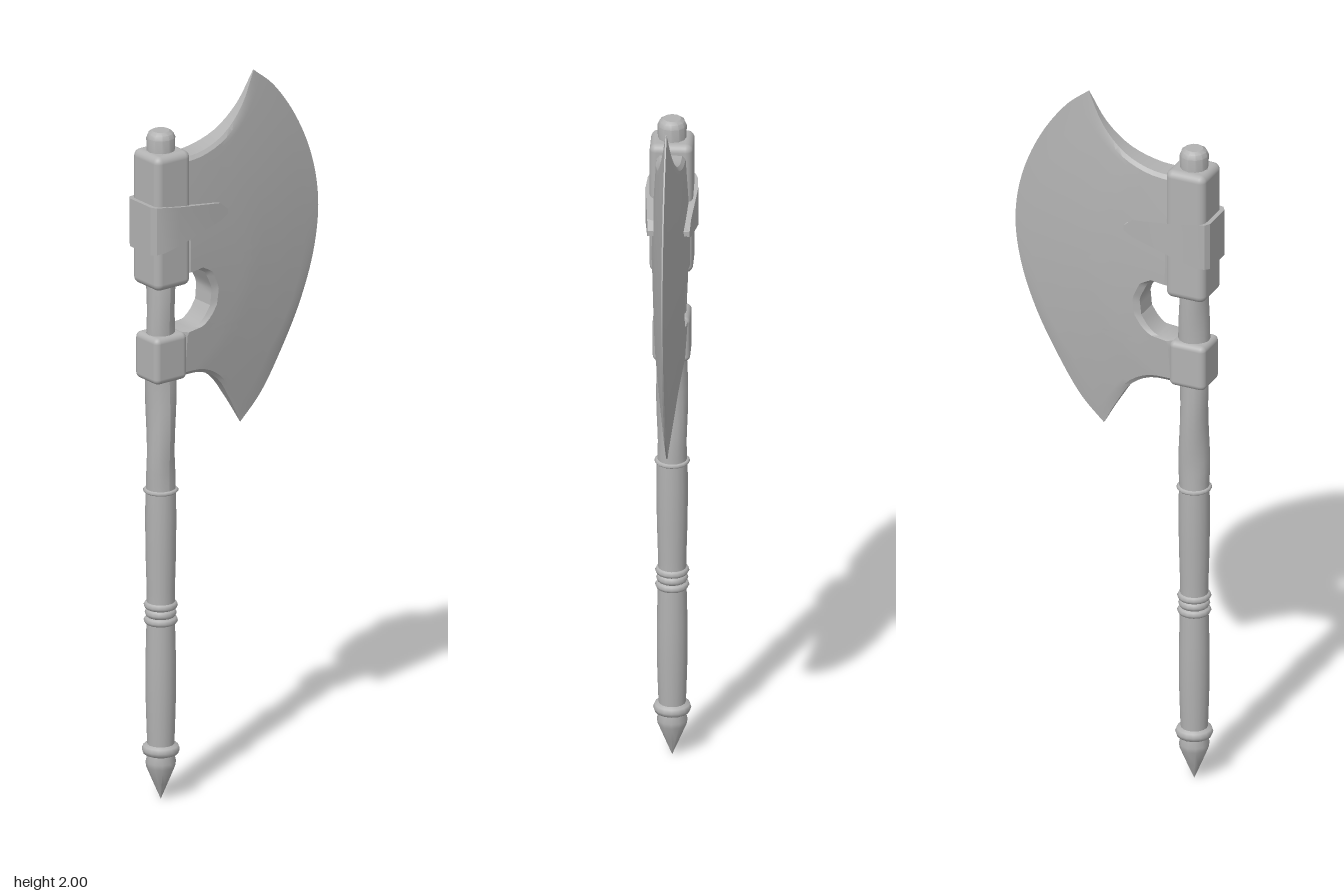
import * as THREE from 'three';
import { toCreasedNormals } from 'three/addons/utils/BufferGeometryUtils.js';
import { RoundedBoxGeometry } from 'three/addons/geometries/RoundedBoxGeometry.js';

const AXIS = -0.23; // x of the shaft
const steel = new THREE.MeshStandardMaterial({ color: 0xb2b2b2 });
steel.name = 'grey steel';

const { lerp, smoothstep } = THREE.MathUtils;

function part(name, geometry, x = 0, y = 0) {
  const mesh = new THREE.Mesh(geometry, steel);
  mesh.name = name;
  mesh.position.set(x, y, 0);
  return mesh;
}

// Linear lookup in a list of [key, value] pairs
function lookup(table, k) {
  for (let i = 1; i < table.length; i++) {
    const [k0, v0] = table[i - 1], [k1, v1] = table[i];
    if (k <= k1) return lerp(v0, v1, Math.max(0, (k - k0) / (k1 - k0)));
  }
  return table[table.length - 1][1];
}

function curve(points, straight = false) {
  const c = new THREE.CatmullRomCurve3(points.map(([x, y]) => new THREE.Vector3(x, y, 0)),
    false, straight ? 'catmullrom' : 'centripetal', 0);
  c.arcLengthDivisions = 600;
  return c;
}

// Blade: a patch between four boundary curves, thinning towards the cutting edge
function bladeGeometry() {
  const top = curve([[-0.19, 1.815], [-0.115, 1.82], [-0.035, 1.85], [0.03, 1.91], [0.08, 2]]);
  const bottom = curve([[-0.19, 1.2], [-0.115, 1.195], [-0.055, 1.16], [-0.01, 1.095], [0.035, 1.015]]);
  const edge = curve([[0.08, 2], [0.145, 1.945], [0.22, 1.84], [0.275, 1.71], [0.295, 1.58],
    [0.28, 1.45], [0.235, 1.315], [0.165, 1.18], [0.1, 1.08], [0.035, 1.015]]);
  const inner = curve([[-0.19, 1.815], [-0.19, 1.49], [-0.15, 1.5], [-0.11, 1.48], [-0.085, 1.43],
    [-0.09, 1.38], [-0.11, 1.35], [-0.135, 1.33], [-0.19, 1.325], [-0.19, 1.2]], true);
  const thickness = [[0, 0.002], [0.123, 0.019], [0.21, 0.03], [0.25, 0.035], [0.5, 0.054]];

  const us = [0, 0.04], vs = [0, 0.014];
  for (let i = 1; i <= 14; i++) us.push(lerp(0.04, 1, i / 14));
  for (let i = 1; i < 50; i++) vs.push(lerp(0.014, 0.986, i / 50));
  vs.push(0.986, 1);
  const nu = us.length, nv = vs.length, p = [];
  const [a, b, c, d] = [top.getPoint(0), top.getPoint(1), bottom.getPoint(0), bottom.getPoint(1)];
  for (const v of vs) {
    const L = inner.getPointAt(v), R = edge.getPointAt(v);
    for (const u of us) {
      const T = top.getPointAt(u), B = bottom.getPointAt(u);
      const q = (k) => (1 - v) * T[k] + v * B[k] + (1 - u) * L[k] + u * R[k]
        - (1 - v) * ((1 - u) * a[k] + u * b[k]) - v * ((1 - u) * c[k] + u * d[k]);
      const x = q('x'), y = q('y');
      const depth = Math.max(0, 0.627 - Math.hypot(x + 0.33, y - 1.525)) * (u === 1 ? 0 : 1);
      const chamfer = v === 0 || v === 1 || u === 0 ? 0.78 : 1;
      p.push([x, y, lookup(thickness, depth) * chamfer]);
    }
  }
  const out = [];
  const put = (i, side) => out.push(p[i][0], p[i][1], p[i][2] * side);
  for (let r = 0; r < nv - 1; r++) for (let s = 0; s < nu - 1; s++) {
    const i = r * nu + s, j = i + nu;
    for (const k of [i, j, i + 1, i + 1, j, j + 1]) put(k, 1);
    for (const k of [i, i + 1, j, i + 1, j + 1, j]) put(k, -1);
  }
  // Rim joining both faces
  const rim = [];
  for (let s = 0; s < nu; s++) rim.push(s);
  for (let r = 1; r < nv; r++) rim.push(r * nu + nu - 1);
  for (let s = nu - 2; s >= 0; s--) rim.push((nv - 1) * nu + s);
  for (let r = nv - 2; r > 0; r--) rim.push(r * nu);
  rim.forEach((i, n) => {
    const j = rim[(n + 1) % rim.length];
    put(i, 1); put(j, 1); put(j, -1);
    put(i, 1); put(j, -1); put(i, -1);
  });
  const g = new THREE.BufferGeometry();
  g.setAttribute('position', new THREE.Float32BufferAttribute(out, 3));
  return toCreasedNormals(g, 0.45);
}

// Strap: wraps the socket and tapers to a blunt point on each cheek
function strapGeometry() {
  const half = [[-0.298, 0.045], [-0.288, 0.06], [-0.265, 0.067], [-0.22, 0.07], [-0.075, 0.0585], [-0.048, 0.056]];
  const pts = [...half, ...half.slice().reverse().map(([x, z]) => [x, -z])];
  const shape = new THREE.Shape(pts.map(([x, z]) => new THREE.Vector2(x, z)));
  const g = new THREE.ExtrudeGeometry(shape, { depth: 1, bevelEnabled: false });
  g.rotateX(-Math.PI / 2);
  const upper = [[-0.298, 1.705], [-0.265, 1.703], [-0.075, 1.673], [-0.048, 1.65]];
  const lower = [[-0.298, 1.57], [-0.265, 1.575], [-0.075, 1.622], [-0.048, 1.636]];
  const pos = g.attributes.position;
  for (let i = 0; i < pos.count; i++) {
    const x = pos.getX(i);
    pos.setY(i, lerp(lookup(lower, x), lookup(upper, x), pos.getY(i)));
  }
  return toCreasedNormals(g, 0.5);
}

function lathe(profile, sides = 16) {
  return new THREE.LatheGeometry(profile.map(([r, y]) => new THREE.Vector2(r, y)), sides);
}

// Upper shaft: gently twisted wood
function twistedShaft() {
  const profile = [];
  for (let i = 0; i <= 30; i++) profile.push([0.04, lerp(0.87, 1.84, i / 30)]);
  const g = lathe(profile);
  const pos = g.attributes.position;
  for (let i = 0; i < pos.count; i++) {
    const x = pos.getX(i), y = pos.getY(i), z = pos.getZ(i);
    const k = 1 + 0.07 * Math.sin(2 * Math.atan2(z, x) + y * 16) * smoothstep(y, 0.88, 0.95);
    pos.setXYZ(i, x * k, y, z * k);
  }
  g.computeVertexNormals();
  return g;
}

export function createModel() {
  const axe = new THREE.Group();
  axe.name = 'battleAxe';

  // Head
  axe.add(part('blade', bladeGeometry()));
  axe.add(part('upperSocket', new RoundedBoxGeometry(0.116, 0.38, 0.116, 3, 0.02), -0.227, 1.652));
  axe.add(part('lowerCollar', new RoundedBoxGeometry(0.106, 0.132, 0.1, 3, 0.016), -0.229, 1.261));
  axe.add(part('strap', strapGeometry()));

  // Handle
  axe.add(part('shaftCap', toCreasedNormals(lathe([[0.038, 1.82], [0.039, 1.878], [0.034, 1.89], [0.024, 1.897], [0, 1.897]], 12), 0.6), AXIS));
  axe.add(part('twistedShaft', twistedShaft(), AXIS));
  axe.add(part('upperGrip', lathe([[0.038, 0.55], [0.038, 0.6], [0.041, 0.7], [0.042, 0.8], [0.041, 0.88]]), AXIS));
  axe.add(part('lowerGrip', lathe([[0.036, 0.15], [0.038, 0.2], [0.041, 0.3], [0.041, 0.4], [0.038, 0.52]]), AXIS));
  const rings = [['gripTopRing', 0.88, 0.048, 0.008], ['middleRingUpper', 0.555, 0.046, 0.013],
    ['middleRingCentre', 0.533, 0.043, 0.014], ['middleRingLower', 0.512, 0.046, 0.013],
    ['pommelRing', 0.147, 0.051, 0.018]];
  for (const [name, y, r, h] of rings) {
    axe.add(part(name, lathe([[0.03, y - h], [r - 0.004, y - h * 0.6], [r, y], [r - 0.004, y + h * 0.6], [0.03, y + h]]), AXIS));
  }
  axe.add(part('pommelSpike', toCreasedNormals(lathe([[0, 0.005], [0.02, 0.052], [0.039, 0.098], [0.041, 0.112], [0.036, 0.135]], 12), 0.7), AXIS));
  return axe;
}
